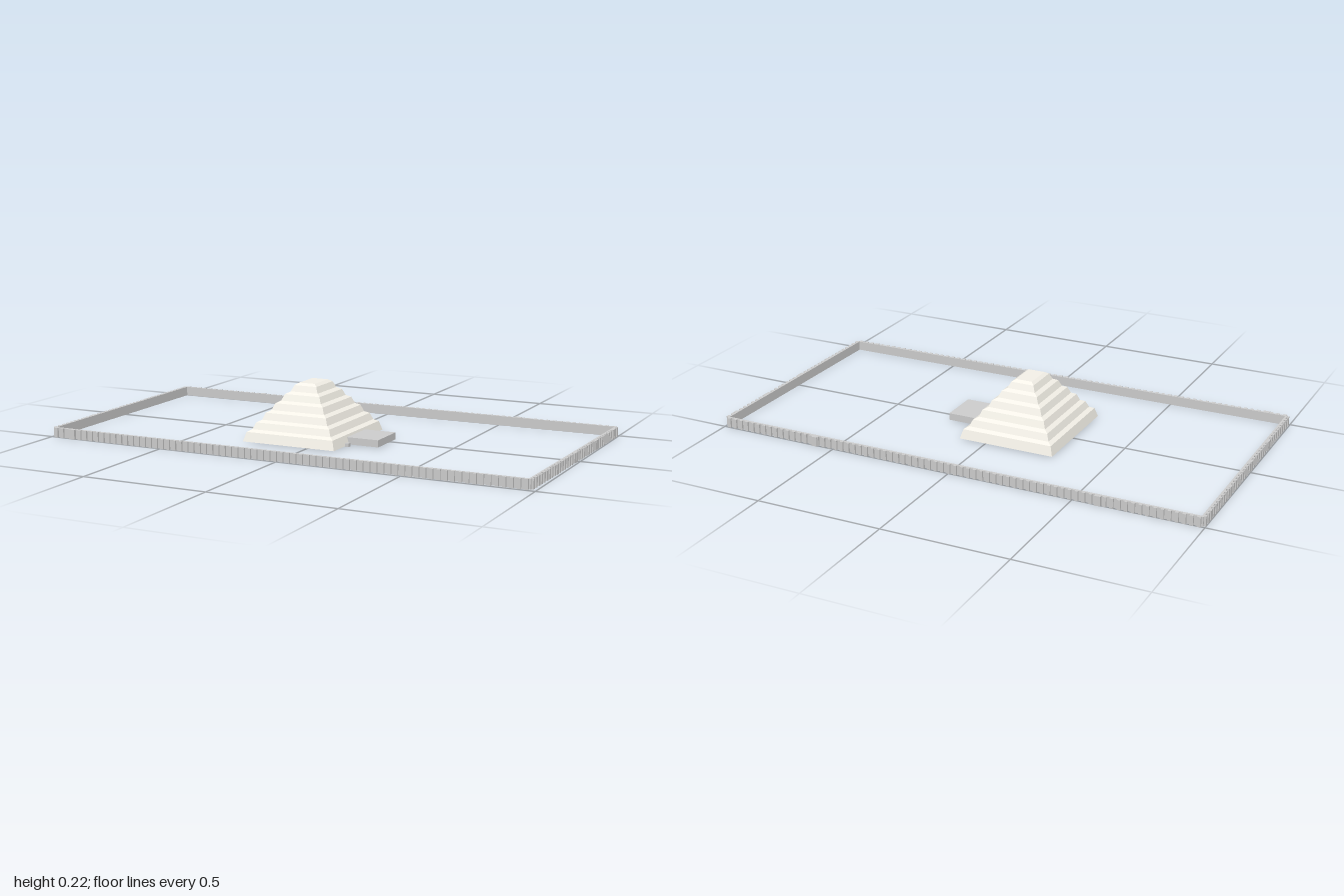
import * as THREE from 'three';

const grey = () => new THREE.MeshStandardMaterial({ color: 0xcccccc, flatShading: true });

// Stepped pyramid: an open-bottomed shell of rectangular rings
function steppedPyramid() {
  const rings = [];
  const levels = [0, 0.046, 0.081, 0.117, 0.152, 0.186];
  levels.forEach((y, i) => {
    const half = 0.221 - i * 0.0277;
    const top = (i < 5 ? levels[i + 1] : 0.219) - 0.009;
    rings.push([half, y], [half - 0.011, top]); // steep face, then sloped ledge
  });
  rings.push([0.058, 0.219]);

  const corners = ([h, y]) => [[-1, 1], [1, 1], [1, -1], [-1, -1]]
    .map(([sx, sz]) => [sx * (h - 0.024), y, sz * h]);
  const pos = [];
  const quad = (a, b, c, d) => pos.push(...a, ...b, ...c, ...a, ...c, ...d);
  for (let r = 0; r < rings.length - 1; r++) {
    const low = corners(rings[r]), high = corners(rings[r + 1]);
    for (let k = 0; k < 4; k++) {
      const n = (k + 1) % 4;
      quad(low[k], low[n], high[n], high[k]);
    }
  }
  quad(...corners(rings[rings.length - 1]));

  const geo = new THREE.BufferGeometry();
  geo.setAttribute('position', new THREE.Float32BufferAttribute(pos, 3));
  geo.computeVertexNormals();
  const mesh = new THREE.Mesh(geo, new THREE.MeshStandardMaterial({
    color: 0xf2efe6, flatShading: true, side: THREE.DoubleSide,
  }));
  mesh.name = 'steppedPyramid';
  mesh.position.set(-0.085, 0, 0.025);
  return mesh;
}

// Enclosure wall: slightly skewed rectangle, buttressed outside, plain inside
function enclosureWall() {
  const depth = 0.008, pitch = 0.027;
  // outer corners in plan, counter-clockwise, plan y = -z
  const c = [[-0.99, -0.497], [0.978, -0.485], [0.992, 0.492], [-0.992, 0.497]]
    .map(([x, y]) => new THREE.Vector2(x, y));
  const outline = [];
  c.forEach((a, s) => {
    const b = c[(s + 1) % 4];
    const along = b.clone().sub(a), length = along.length();
    along.normalize();
    const out = new THREE.Vector2(along.y, -along.x);
    const at = (t, o) => outline.push(a.clone().addScaledVector(along, t).addScaledVector(out, o));
    const count = Math.round(length / pitch), step = length / count;
    at(0, 0);
    for (let i = 0; i < count; i++) {
      const t = i * step;
      at(t + step * 0.25, 0);
      at(t + step * 0.25, depth);
      at(t + step * 0.75, depth);
      at(t + step * 0.75, 0);
    }
  });
  const shape = new THREE.Shape(outline);
  shape.holes.push(new THREE.Path(
    c.map((p) => new THREE.Vector2(p.x - Math.sign(p.x) * 0.008, p.y - Math.sign(p.y) * 0.008)).reverse()
  ));
  const geo = new THREE.ExtrudeGeometry(shape, { depth: 0.038, bevelEnabled: false });
  geo.rotateX(-Math.PI / 2);
  const mesh = new THREE.Mesh(geo, grey());
  mesh.name = 'enclosureWall';
  return mesh;
}

function block(name, x0, x1, z0, z1, height) {
  const mesh = new THREE.Mesh(new THREE.BoxGeometry(x1 - x0, height, z1 - z0), grey());
  mesh.name = name;
  mesh.position.set((x0 + x1) / 2, height / 2, (z0 + z1) / 2);
  return mesh;
}

export function createModel() {
  const group = new THREE.Group();
  group.name = 'pyramidComplex';
  group.add(steppedPyramid(), enclosureWall());

  // Temple platform beside the pyramid and the small chamber next to it
  group.add(block('templePlatform', 0.1, 0.235, -0.05, 0.113, 0.028));
  group.add(block('smallChamber', 0.117, 0.132, 0.142, 0.158, 0.014));

  // Larger bastions and the entrance tower on the wall
  group.add(block('entranceTower', -0.915, -0.89, 0.49, 0.507, 0.038));
  for (const x of [-0.6, 0.58]) group.add(block('bastion', x - 0.012, x + 0.012, -0.508, -0.49, 0.038));
  for (const z of [-0.43, -0.22, 0.02, 0.23]) {
    group.add(block('bastion', -1, -0.984, z - 0.01, z + 0.01, 0.038));
    const x = 0.985 - z * 0.014;
    group.add(block('bastion', x - 0.005, x + 0.009, z - 0.01, z + 0.01, 0.038));
  }
  return group;
}
